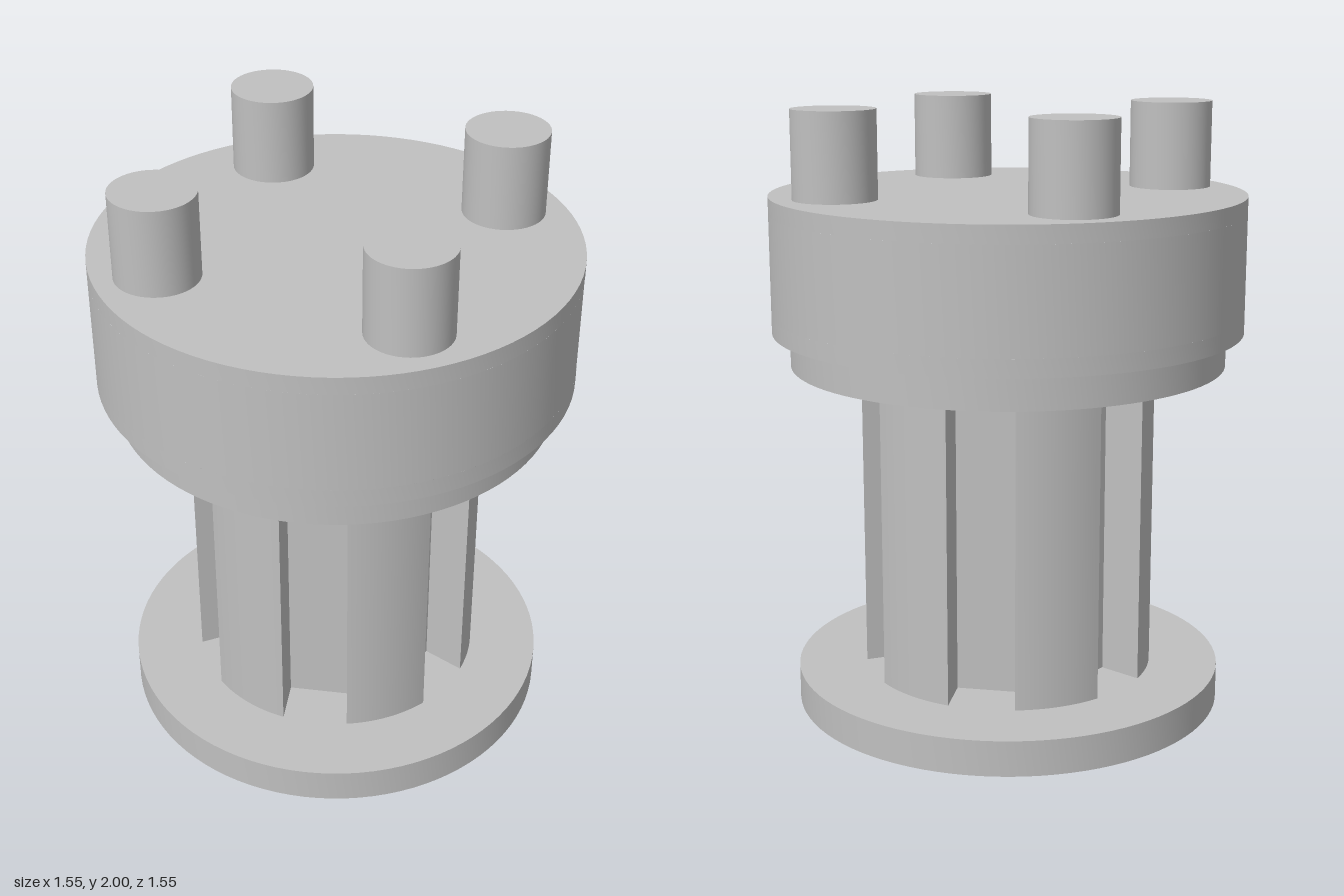
import * as THREE from 'three';
import { toCreasedNormals } from 'three/addons/utils/BufferGeometryUtils.js';

const rad = THREE.MathUtils.degToRad;

export function createModel() {
  const group = new THREE.Group();
  const metal = new THREE.MeshStandardMaterial({ color: 0xc0c0c0 });

  function add(name, geometry) {
    const mesh = new THREE.Mesh(geometry, metal);
    mesh.name = name;
    group.add(mesh);
    return mesh;
  }

  // Turned part from a [radius, y] profile, listed bottom to top
  function turned(name, profile, start = 0, sweep = Math.PI * 2, segments = 96) {
    const points = profile.map(([r, y]) => new THREE.Vector2(r, y));
    const lathe = new THREE.LatheGeometry(points, segments, start, sweep);
    return add(name, toCreasedNormals(lathe, rad(30)));
  }

  const flangeR = 0.717, headR = 0.775;
  const flangeTop = 0.118, collarY = 1.16, headY = 1.272, headTop = 1.717;
  const slotY0 = 1.33, slotY1 = 1.66;

  // Base flange and the collar under the head
  turned('baseFlange', [[0, 0], [flangeR, 0], [flangeR, flangeTop], [0, flangeTop]]);
  turned('collar', [[0, collarY], [flangeR, collarY], [flangeR, headY]]);

  // Column: six arc-faced ribs with straight-walled, flat-floored grooves between
  const ribR = 0.487, ribHalf = rad(17), grooveDepth = 0.147;
  const outline = new THREE.Shape();
  for (let i = 0; i < 6; i++) {
    const a = rad(30 + 60 * i), groove = a + rad(30);
    const dx = Math.cos(groove) * grooveDepth, dy = Math.sin(groove) * grooveDepth;
    const corner = (angle) => [ribR * Math.cos(angle), ribR * Math.sin(angle)];
    const [x0, y0] = corner(a - ribHalf);
    const [x1, y1] = corner(a + ribHalf);
    const [x2, y2] = corner(a + rad(60) - ribHalf);
    if (i === 0) outline.moveTo(x0, y0);
    outline.absarc(0, 0, ribR, a - ribHalf, a + ribHalf, false);
    outline.lineTo(x1 - dx, y1 - dy);
    outline.lineTo(x2 - dx, y2 - dy);
    outline.lineTo(x2, y2);
  }
  const column = new THREE.ExtrudeGeometry(outline, {
    depth: collarY - flangeTop, bevelEnabled: false, curveSegments: 8,
  });
  column.rotateX(Math.PI / 2).translate(0, collarY, 0);
  add('groovedColumn', toCreasedNormals(column, rad(20)));

  // Head: three bands, the middle one open at the slot
  const slotAngle = rad(30), slotHalf = rad(3.3);
  turned('headLower', [[flangeR, headY], [headR, headY], [headR, slotY0]]);
  turned('headMiddle', [[headR, slotY0], [headR, slotY1]],
    Math.PI / 2 - slotAngle + slotHalf, Math.PI * 2 - 2 * slotHalf);
  turned('headUpper', [[headR, slotY1], [headR, headTop], [0, headTop]]);

  // Slot pocket: a box without its outer face, turned inside out
  const slotDepth = 0.09, slotMouth = headR * Math.cos(slotHalf);
  const pocket = new THREE.BoxGeometry(
    slotDepth, slotY1 - slotY0, 2 * headR * Math.sin(slotHalf));
  pocket.setIndex(Array.from(pocket.index.array).slice(6).reverse());
  pocket.clearGroups();
  pocket.computeVertexNormals();
  pocket.translate(slotMouth - slotDepth / 2, (slotY0 + slotY1) / 2, 0);
  pocket.rotateY(-slotAngle);
  add('slotPocket', pocket);

  // Four pins on top of the head
  const pinR = 0.135, pinRing = 0.577;
  for (let i = 0; i < 4; i++) {
    const a = i * Math.PI / 2;
    const pin = turned('pin' + (i + 1),
      [[pinR, headTop], [pinR, 2], [0, 2]], 0, Math.PI * 2, 48);
    pin.position.set(Math.cos(a) * pinRing, 0, Math.sin(a) * pinRing);
  }

  return group;
}
